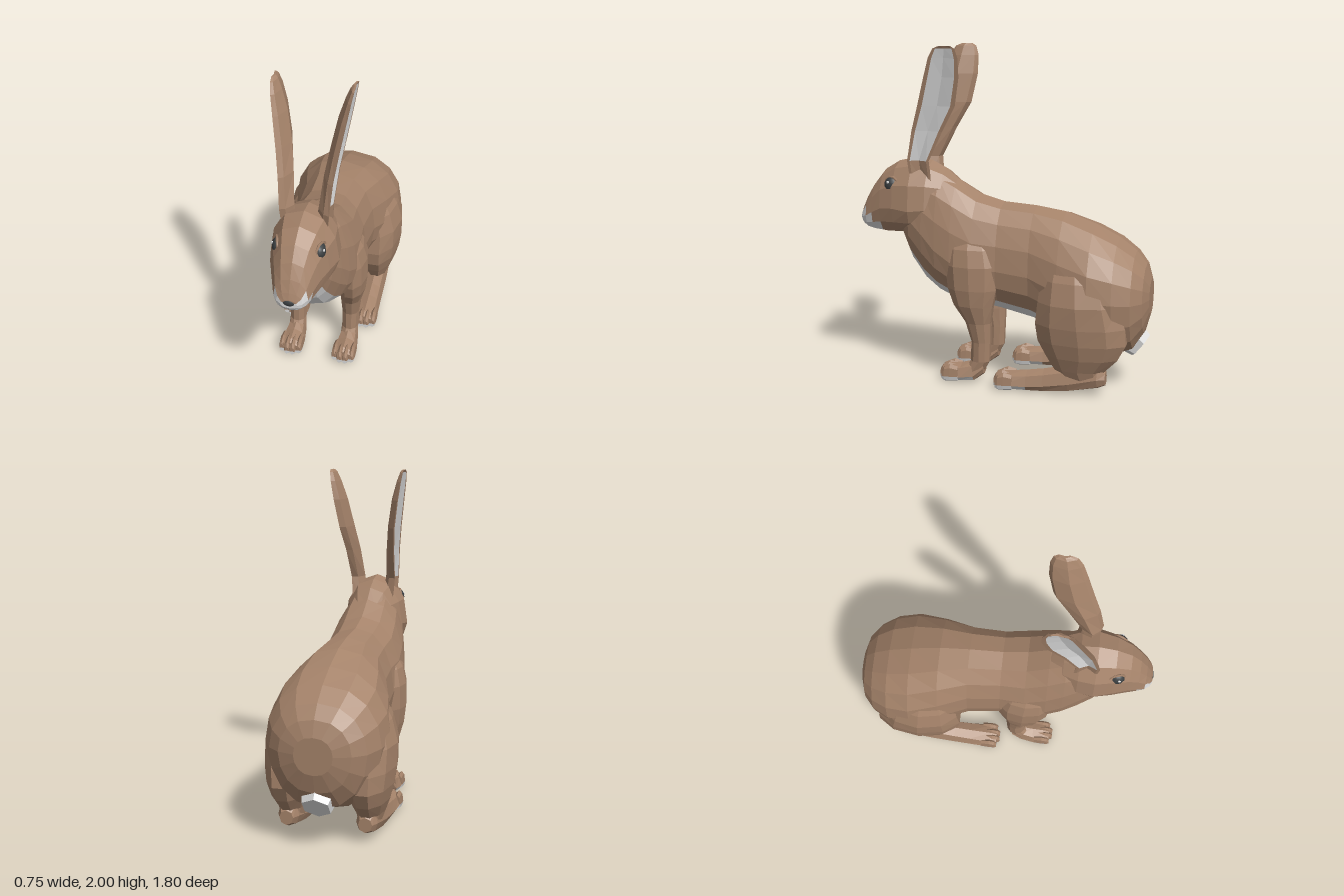
import * as THREE from 'three';

const material = (name, color) => {
  const m = new THREE.MeshStandardMaterial({ color });
  m.name = name;
  return m;
};

// Flat-faceted skin over equal-length rings of points; pick(i, j) gives the material slot of a face.
function loft(name, rings, mats, pick = () => 0) {
  const slots = mats.map(() => []);
  const tri = (s, a, b, c) => slots[s].push([a, b, c]);
  const n = rings[0].length;
  for (let i = 0; i < rings.length - 1; i++) {
    for (let j = 0; j < n; j++) {
      const k = (j + 1) % n, s = pick(i, j);
      tri(s, rings[i][j], rings[i + 1][j], rings[i + 1][k]);
      tri(s, rings[i][j], rings[i + 1][k], rings[i][k]);
    }
  }
  [[rings[0], 0, true], [rings.at(-1), rings.length - 2, false]].forEach(([r, i, flip]) => {
    const c = [0, 1, 2].map((d) => r.reduce((sum, p) => sum + p[d], 0) / n);
    for (let j = 0; j < n; j++) {
      const a = r[j], b = r[(j + 1) % n];
      if (flip) tri(pick(i, j), c, a, b);
      else tri(pick(i, j), c, b, a);
    }
  });
  // Turn the whole skin outward if its signed volume is negative
  let volume = 0;
  const [A, B, C] = [0, 1, 2].map(() => new THREE.Vector3());
  slots.flat().forEach(([a, b, c]) => {
    volume += A.fromArray(a).dot(B.fromArray(b).cross(C.fromArray(c)));
  });
  const geo = new THREE.BufferGeometry(), pos = [];
  slots.forEach((list, s) => {
    geo.addGroup(pos.length / 3, list.length * 3, s);
    list.forEach(([a, b, c]) => pos.push(...a, ...(volume < 0 ? c : b), ...(volume < 0 ? b : c)));
  });
  geo.setAttribute('position', new THREE.Float32BufferAttribute(pos, 3));
  geo.computeVertexNormals();
  const mesh = new THREE.Mesh(geo, mats);
  mesh.name = name;
  return mesh;
}

// Upright egg-shaped ring at depth z, starting from its top point
function zRing([z, top, bottom, halfWidth, yWide], n = 12, xc = 0) {
  return Array.from({ length: n }, (_, j) => {
    const a = (j / n) * Math.PI * 2, s = Math.sin(a), c = Math.cos(a);
    const x = Math.sign(s) * Math.abs(s) ** 0.85 * halfWidth;
    return [xc + x, yWide + c * (c > 0 ? top - yWide : yWide - bottom), z];
  });
}

// Level oval ring at height y
function yRing([y, zc, rz, xc, rx], side, n = 10) {
  return Array.from({ length: n }, (_, j) => {
    const a = (j / n) * Math.PI * 2;
    return [side * (xc + Math.cos(a) * rx), y, zc + Math.sin(a) * rz];
  });
}

export function createModel() {
  const model = new THREE.Group();
  const brown = material('brown fur', 0xa5836a);
  const white = material('white fur', 0xdcdcdc);
  const dark = material('dark eye and nose', 0x3c4042);
  const fur = [brown, white];

  // Torso with pale bib and belly: z, top, bottom, half width, height of widest point
  const torso = [
    [0.62, 1.18, 0.85, 0.12, 1.0], [0.56, 1.22, 0.7, 0.165, 0.97],
    [0.47, 1.25, 0.58, 0.195, 0.89], [0.38, 1.25, 0.515, 0.22, 0.8],
    [0.28, 1.2, 0.475, 0.24, 0.74], [0.15, 1.12, 0.46, 0.25, 0.7],
    [0, 1.078, 0.43, 0.235, 0.7], [-0.2, 1.063, 0.385, 0.25, 0.68],
    [-0.38, 1.035, 0.33, 0.31, 0.62], [-0.56, 0.97, 0.25, 0.35, 0.58],
    [-0.7, 0.9, 0.2, 0.33, 0.57], [-0.8, 0.825, 0.24, 0.275, 0.56],
    [-0.86, 0.75, 0.34, 0.205, 0.56], [-0.89, 0.66, 0.45, 0.11, 0.56],
  ].map((r) => zRing(r, 16));
  model.add(loft('torso', torso, fur, (i, j) => (i < 10 && j >= 6 && j <= 9 ? 1 : 0)));

  // Head with pale muzzle and chin
  const head = [
    [0.26, 1.18, 1.0, 0.1, 1.06], [0.36, 1.265, 0.93, 0.15, 1.05],
    [0.45, 1.31, 0.9, 0.185, 1.03], [0.55, 1.325, 0.87, 0.198, 1.02],
    [0.66, 1.3, 0.857, 0.17, 1.03], [0.75, 1.245, 0.857, 0.138, 1.02],
    [0.81, 1.17, 0.865, 0.115, 0.99], [0.855, 1.09, 0.88, 0.098, 0.965],
    [0.885, 1.02, 0.9, 0.075, 0.955], [0.9, 0.98, 0.925, 0.048, 0.95],
  ].map((r) => zRing(r));
  model.add(loft('head', head, fur, (i, j) =>
    (i >= 7 && j >= 2 && j <= 9) || (i >= 6 && j >= 3 && j <= 8) || (i >= 5 && j >= 4 && j <= 7) ? 1 : 0));

  const ball = (name, mat, x, y, z, sx, sy, sz) => {
    const m = new THREE.Mesh(new THREE.SphereGeometry(1, 10, 8), mat);
    m.name = name;
    m.position.set(x, y, z);
    m.scale.set(sx, sy, sz);
    model.add(m);
  };
  ball('nose', dark, 0, 0.958, 0.885, 0.047, 0.027, 0.022);

  // Tail: a stubby six-sided tuft facing back and down
  const tail = new THREE.Mesh(new THREE.CylinderGeometry(0.085, 0.1, 0.065, 6).toNonIndexed(), white);
  tail.geometry.computeVertexNormals();
  tail.name = 'tail';
  tail.position.set(0, 0.27, -0.81);
  tail.rotation.x = -2.24;
  model.add(tail);

  for (const side of [1, -1]) {
    const word = side > 0 ? 'left' : 'right';

    // Eye with lid rim and glint
    ball(word + 'Eye', dark, side * 0.115, 1.165, 0.672, 0.036, 0.05, 0.048);
    ball(word + 'EyeGlint', white, side * 0.144, 1.185, 0.688, 0.006, 0.009, 0.009);
    const lid = new THREE.Mesh(new THREE.TorusGeometry(0.051, 0.008, 5, 10), brown);
    lid.name = word + 'Eyelid';
    lid.position.set(side * 0.122, 1.165, 0.672);
    lid.rotation.y = side * 1.25;
    model.add(lid);

    // Ear: y, front z, back z, x of the rim, depth of the shell
    const ear = [
      [1.2, 0.55, 0.42, 0.13, 0.08], [1.32, 0.565, 0.43, 0.138, 0.07],
      [1.5, 0.53, 0.34, 0.15, 0.066], [1.65, 0.485, 0.255, 0.17, 0.064],
      [1.82, 0.435, 0.222, 0.197, 0.058], [1.93, 0.4, 0.222, 0.215, 0.042],
      [1.985, 0.368, 0.238, 0.224, 0.028], [2, 0.33, 0.262, 0.227, 0.018],
    ].map(([y, zf, zb, x, d]) => {
      const at = (t, dx) => [side * (x - dx), y, zf + (zb - zf) * t];
      return [at(0, 0), at(0.08, d * 0.45), at(0.45, d), at(0.9, d * 0.55), at(1, 0),
        at(0.88, 0), at(0.5, d * 0.3), at(0.12, 0)];
    });
    model.add(loft(word + 'Ear', ear, fur, (i, j) => (i >= 1 && i < 6 && (j === 5 || j === 6) ? 1 : 0)));

    // Front leg from shoulder to wrist: y, z, z radius, x, x radius
    const frontLeg = [
      [0.92, 0.17, 0.1, 0.14, 0.06], [0.82, 0.16, 0.15, 0.175, 0.08],
      [0.72, 0.15, 0.165, 0.19, 0.088], [0.58, 0.145, 0.155, 0.193, 0.088],
      [0.48, 0.14, 0.125, 0.19, 0.08], [0.37, 0.115, 0.08, 0.175, 0.066],
      [0.25, 0.1, 0.06, 0.17, 0.055], [0.13, 0.105, 0.06, 0.17, 0.052],
      [0.06, 0.15, 0.065, 0.17, 0.052],
    ].map((r) => yRing(r, side));
    model.add(loft(word + 'FrontLeg', frontLeg, [brown]));

    // Thigh and shin
    const thigh = [
      [0.9, -0.46, 0.12, 0.13, 0.07], [0.8, -0.48, 0.18, 0.175, 0.1],
      [0.68, -0.495, 0.225, 0.21, 0.13], [0.55, -0.505, 0.25, 0.23, 0.145],
      [0.42, -0.515, 0.275, 0.23, 0.143], [0.32, -0.525, 0.27, 0.23, 0.13],
      [0.23, -0.525, 0.22, 0.23, 0.108], [0.15, -0.51, 0.155, 0.228, 0.08],
      [0.08, -0.53, 0.12, 0.225, 0.06],
    ].map((r) => yRing(r, side));
    model.add(loft(word + 'Thigh', thigh, [brown]));

    // Feet with pale soles, each ending in four toes
    const addFoot = (name, xc, rows, soleFrom, toeZ, toeWidth) => {
      const pale = (j) => (j >= 2 && j <= 5 ? 1 : 0);
      const rings = rows.map((r) => zRing(r, 8, side * xc));
      model.add(loft(name, rings, fur, (i, j) => (i >= soleFrom ? pale(j) : 0)));
      for (let t = 0; t < 4; t++) {
        const x = side * (xc + (t - 1.5) * toeWidth);
        const reach = toeZ - (t === 0 || t === 3 ? 0.018 : 0);
        const toe = [
          [reach - 0.1, 0.095, 0.005, toeWidth * 0.5, 0.035],
          [reach - 0.05, 0.107, 0, toeWidth * 0.56, 0.032],
          [reach - 0.015, 0.092, 0, toeWidth * 0.54, 0.032],
          [reach, 0.065, 0.008, toeWidth * 0.4, 0.032],
        ].map((r) => zRing(r, 8, x));
        model.add(loft(name + 'Toe' + (t + 1), toe, fur, (i, j) => pale(j)));
      }
    };
    addFoot(word + 'FrontFoot', 0.17, [
      [0.08, 0.14, 0.05, 0.045, 0.09], [0.14, 0.13, 0.005, 0.058, 0.04],
      [0.22, 0.108, 0, 0.07, 0.032], [0.3, 0.1, 0, 0.073, 0.032],
      [0.33, 0.085, 0, 0.06, 0.032],
    ], 1, 0.35, 0.036);
    addFoot(word + 'HindFoot', 0.228, [
      [-0.665, 0.15, 0.065, 0.04, 0.11], [-0.62, 0.2, 0.045, 0.062, 0.11],
      [-0.45, 0.17, 0.01, 0.068, 0.07], [-0.3, 0.135, 0, 0.07, 0.045],
      [-0.2, 0.118, 0, 0.072, 0.034], [-0.06, 0.1, 0, 0.078, 0.032],
      [-0.02, 0.085, 0, 0.065, 0.032],
    ], 4, 0, 0.039);
  }
  return model;
}
